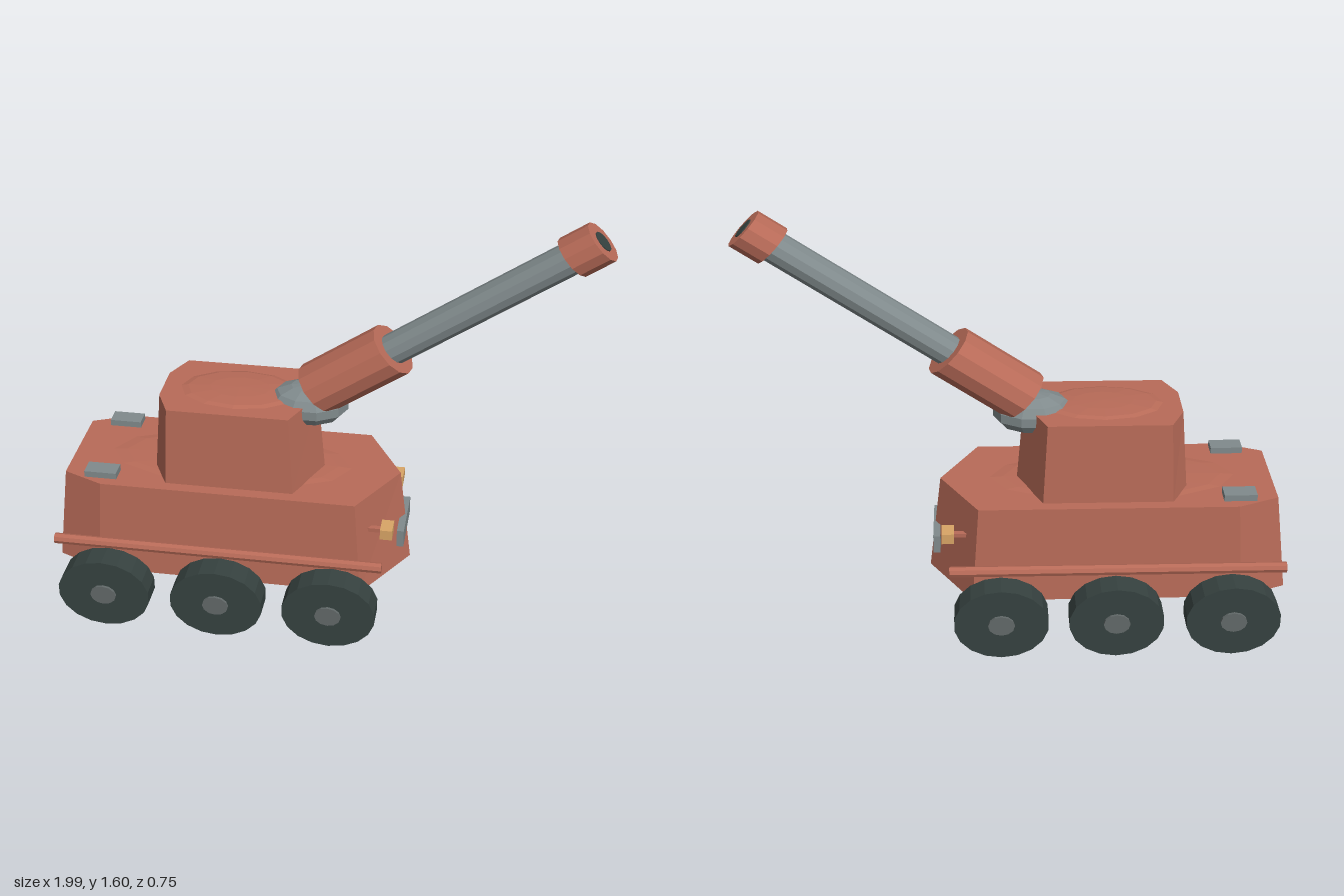
import * as THREE from 'three';

const mat = (name, color, flatShading = true) => {
  const m = new THREE.MeshStandardMaterial({ color, flatShading });
  m.name = name;
  return m;
};

// Faceted armour block: outlines are [rear x, rear half width, rear corner x, front corner x, half width, nose x]
function armour(y0, lower, y1, upper) {
  const ring = ([xr, zr, xc, xf, w, tip], y) =>
    [[xr, zr], [xc, w], [xf, w], [tip, 0], [xf, -w], [xc, -w], [xr, -zr]].map(([x, z]) => [x, y, z]);
  const b = ring(lower, y0), t = ring(upper, y1), n = b.length, pos = [];
  const tri = (...pts) => pts.forEach(p => pos.push(...p));
  for (let i = 0; i < n; i++) {
    const j = (i + 1) % n;
    tri(b[i], b[j], t[j]);
    tri(b[i], t[j], t[i]);
    if (i > 0 && i < n - 1) {
      tri(t[0], t[i], t[i + 1]);
      tri(b[0], b[i + 1], b[i]);
    }
  }
  const g = new THREE.BufferGeometry();
  g.setAttribute('position', new THREE.Float32BufferAttribute(pos, 3));
  g.computeVertexNormals();
  return g;
}

export function createModel() {
  const body = mat('body red', 0xb86b58);
  const bodySmooth = body;
  const steel = mat('steel grey', 0x808a8c);
  const rubber = mat('tyre black', 0x364240);
  const hubGrey = mat('hub grey', 0x626969);
  const lamp = mat('lamp amber', 0xd9a566);

  const model = new THREE.Group();
  model.name = 'armouredGunCar';
  const add = (name, geo, material, x = 0, y = 0, z = 0, parent = model) => {
    const m = new THREE.Mesh(geo, material);
    m.name = name;
    m.position.set(x, y, z);
    parent.add(m);
    return m;
  };

  // Hull and turret with shallow crowns on their roofs
  add('hull', armour(0.18, [-1, 0.19, -0.83, 0.165, 0.26, 0.325],
    0.555, [-0.955, 0.18, -0.805, 0.14, 0.243, 0.28]), body);
  add('turret', armour(0.55, [-0.63, 0.09, -0.57, -0.095, 0.2, -0.005],
    0.86, [-0.605, 0.08, -0.555, -0.11, 0.185, -0.03]), body);
  const crown = (name, x, y, rx, h, rz) =>
    add(name, new THREE.SphereGeometry(1, 12, 3, 0, Math.PI * 2, 0, Math.PI / 2), bodySmooth, x, y, 0).scale.set(rx, h, rz);
  crown('hullCrown', -0.36, 0.554, 0.47, 0.01, 0.19);
  crown('turretCrown', -0.32, 0.859, 0.225, 0.014, 0.14);

  // Gun: built round, raised 40 degrees, then stretched along x and z
  const SX = 1.22, SZ = 1.27;
  const gun = new THREE.Group();
  gun.name = 'gun';
  gun.scale.set(SX, 1, SZ);
  gun.position.set(0.24, 1.078, 0);
  model.add(gun);
  const axis = new THREE.Group();
  axis.name = 'gunAxis';
  axis.rotation.z = -Math.PI * 50.5 / 180;
  gun.add(axis);
  const gunPart = (name, r, from, to, sides, material) =>
    add(name, new THREE.CylinderGeometry(r, r, to - from, sides), material, 0, (from + to) / 2, 0, axis);
  gunPart('gunSleeve', 0.092, -0.288, 0, 12, body);
  gunPart('barrel', 0.053, -0.1, 0.66, 12, steel);
  gunPart('muzzle', 0.071, 0.635, 0.736, 12, body);
  gunPart('bore', 0.035, 0.733, 0.739, 12, rubber);
  add('gunMount', new THREE.SphereGeometry(1, 10, 7), steel, -0.065, 0.832, 0).scale.set(0.15, 0.077, 0.112);

  // Front plate
  add('frontPlate', new THREE.BoxGeometry(0.026, 0.07, 0.23), steel, 0.296, 0.336, 0);

  for (const s of [1, -1]) {
    const side = s > 0 ? 'Front' : 'Back';

    // Wheels and hubs
    [-0.789, -0.361, 0.061].forEach((x, i) => {
      const wheel = new THREE.Group();
      wheel.name = `wheel${side}${i + 1}`;
      wheel.position.set(x, 0.143, s * 0.319);
      wheel.scale.set(SX, 1, 1);
      model.add(wheel);
      add('tyre', new THREE.CylinderGeometry(0.143, 0.143, 0.097, 18), rubber, 0, 0, 0, wheel).rotation.x = Math.PI / 2;
      add('hub', new THREE.CylinderGeometry(0.04, 0.04, 0.02, 12), hubGrey, 0, 0, s * 0.048, wheel).rotation.x = Math.PI / 2;
    });

    // Side rail
    add(`rail${side}`, new THREE.CylinderGeometry(0.02, 0.02, 1.23, 8), body, -0.367, 0.327, s * 0.293).rotation.z = Math.PI / 2;

    // Rear deck hatch, headlamp and its stem
    add(`deckHatch${side}`, new THREE.BoxGeometry(0.12, 0.024, 0.066), steel, -0.812, 0.574, s * 0.182);
    add(`headlamp${side}`, new THREE.BoxGeometry(0.045, 0.04, 0.07), lamp, 0.253, 0.418, s * 0.18);
    add(`lampStem${side}`, new THREE.BoxGeometry(0.06, 0.016, 0.02), body, 0.21, 0.418, s * 0.18);
  }
  return model;
}
